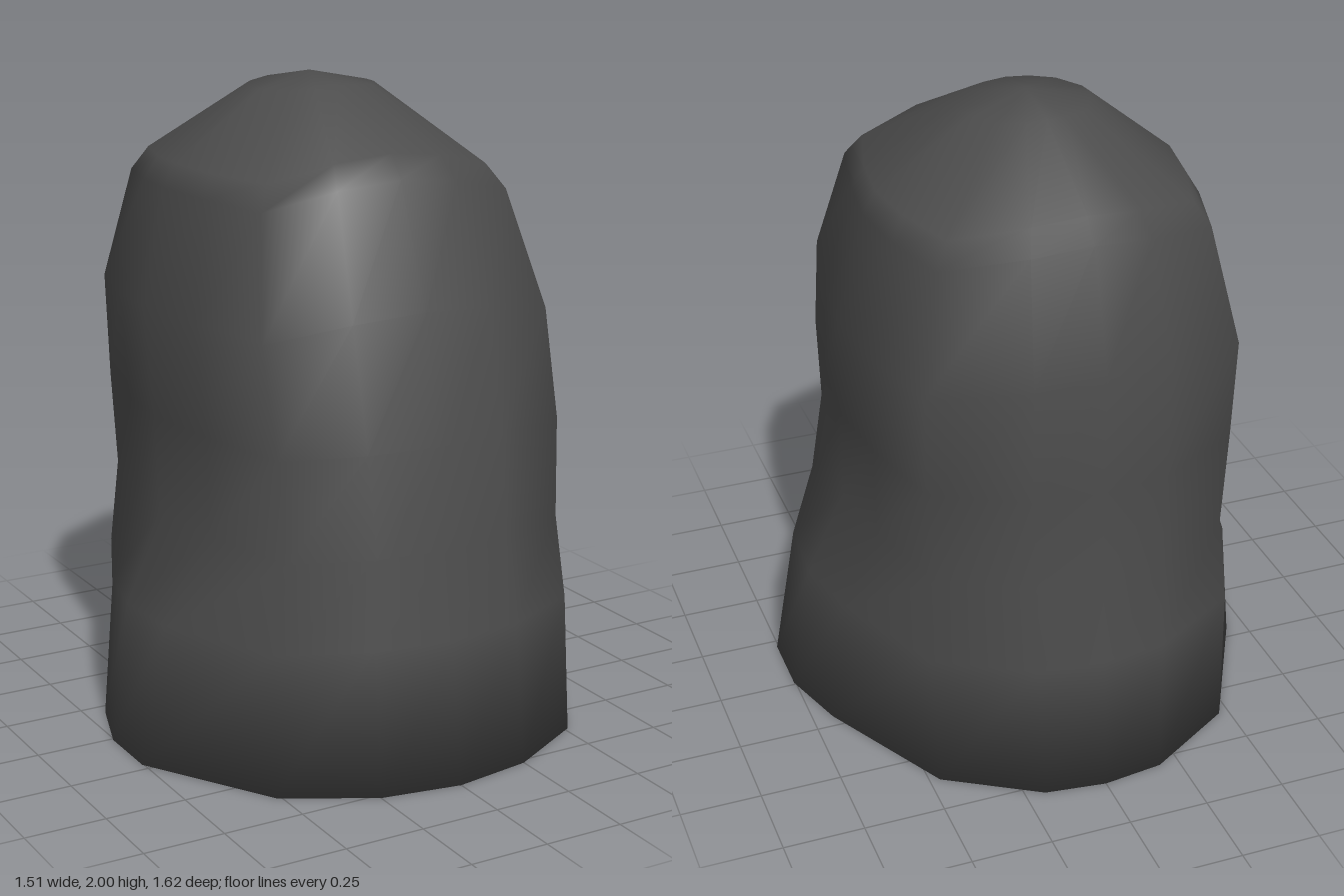
import * as THREE from 'three';

// Half outlines from front centre to back centre, as fractions of half width and half depth
const ROUND = [[0, 1], [0.33, 0.95], [0.68, 0.77], [1, 0.27], [1, 0.01], [0.91, -0.25], [0.62, -0.76], [0.25, -0.97], [0, -1]];
const SQUARE = [[0, 1], [0.4, 0.97], [0.83, 0.86], [0.94, 0.4], [1, 0], [0.95, -0.35], [0.83, -0.76], [0.36, -0.97], [0, -1]];

// Rings from the ground up: height, half width, front z, back z, squareness, rise at front and back
const RINGS = [
  [0, 0.755, 0.81, -0.81, 0, 0],
  [0.43, 0.69, 0.75, -0.775, 0.35, 0],
  [0.7, 0.57, 0.715, -0.75, 0.85, 0],
  [1.0, 0.575, 0.67, -0.735, 1, 0],
  [1.33, 0.58, 0.585, -0.745, 1, 0.05],
  [1.68, 0.5, 0.44, -0.635, 1, 0.06],
  [1.75, 0.46, 0.385, -0.585, 0.9, 0.06],
  [1.96, 0.2, 0.07, -0.27, 0.3, 0.01],
];

function loftGeometry() {
  const half = ROUND.length;
  const n = 2 * (half - 1);
  const positions = [];
  const index = [];

  for (const [y, w, front, back, square, rise] of RINGS) {
    const cz = (front + back) / 2;
    const depth = (front - back) / 2;
    for (let i = 0; i < n; i++) {
      const k = i < half ? i : n - i;
      const side = i < half ? 1 : -1;
      const u = THREE.MathUtils.lerp(ROUND[k][0], SQUARE[k][0], square);
      const v = THREE.MathUtils.lerp(ROUND[k][1], SQUARE[k][1], square);
      // The rim rises at front and back and dips at the corners
      const lift = rise * v * v * (1 - 1.8 * u * u);
      positions.push(side * u * w, y + lift, cz + v * depth);
    }
  }
  // Walls
  for (let r = 0; r < RINGS.length - 1; r++) {
    for (let i = 0; i < n; i++) {
      const j = (i + 1) % n;
      const a = r * n + i, b = r * n + j, c = a + n, d = b + n;
      index.push(a, b, d, a, d, c);
    }
  }
  // Crown and underside
  const top = positions.length / 3;
  positions.push(0, 2, -0.1, 0, 0.005, 0);
  const last = (RINGS.length - 1) * n;
  for (let i = 0; i < n; i++) {
    const j = (i + 1) % n;
    index.push(last + i, last + j, top, j, i, top + 1);
  }

  const geometry = new THREE.BufferGeometry();
  geometry.setAttribute('position', new THREE.Float32BufferAttribute(positions, 3));
  geometry.setIndex(index);
  geometry.computeVertexNormals();
  return geometry;
}

export function createModel() {
  const group = new THREE.Group();
  const stone = new THREE.MeshStandardMaterial({ color: 0x4c4c4c });
  stone.name = 'dark grey stone';
  const boulder = new THREE.Mesh(loftGeometry(), stone);
  boulder.name = 'boulder';
  group.add(boulder);
  return group;
}
